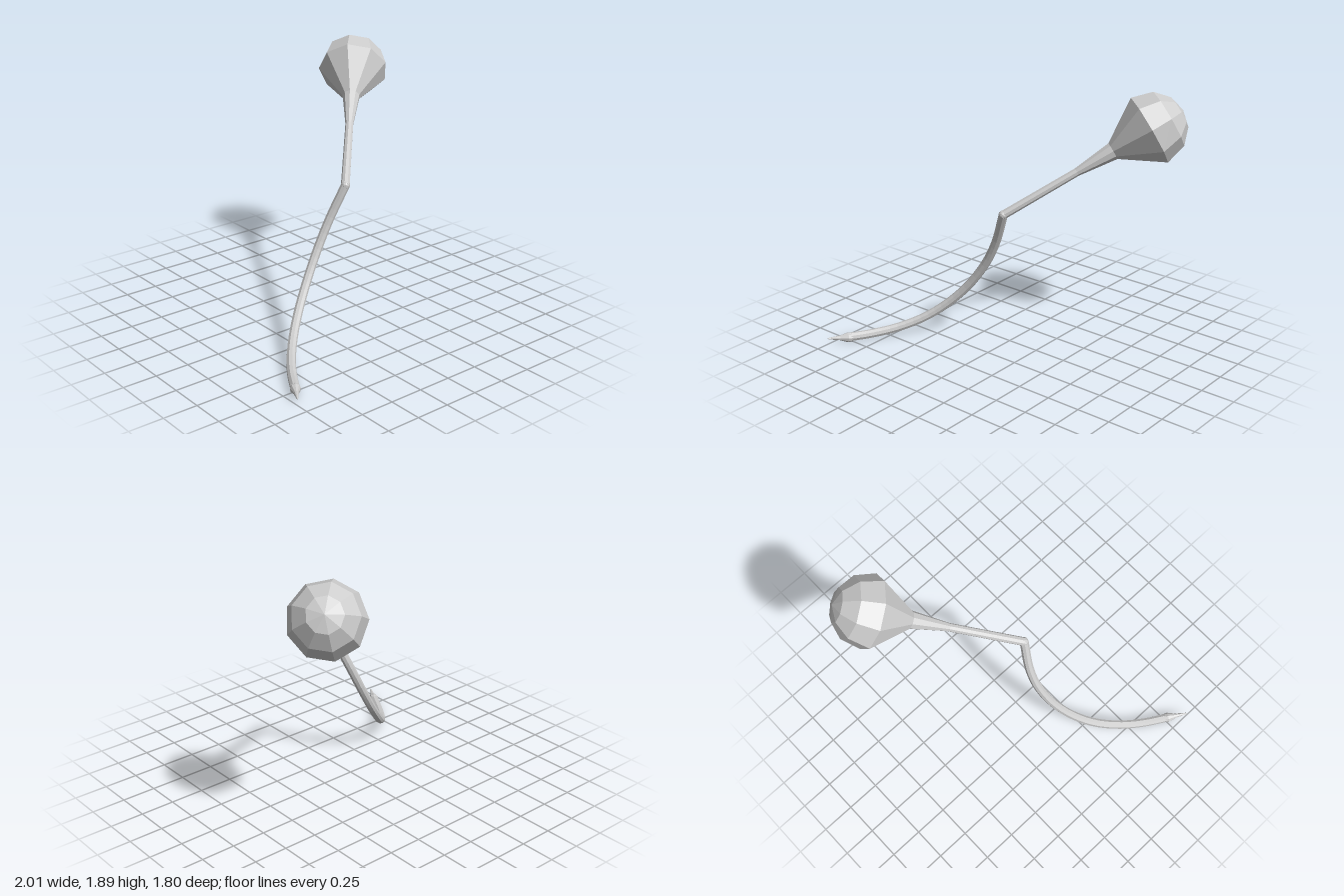
import * as THREE from 'three';

const SIDES = 9;
const v = (x, y, z) => new THREE.Vector3(x, y, z);

export function createModel() {
  const group = new THREE.Group();
  const material = new THREE.MeshStandardMaterial({ color: 0xcccccc, flatShading: true, side: THREE.DoubleSide });

  const add = (name, geometry) => {
    const mesh = new THREE.Mesh(geometry, material);
    mesh.name = name;
    group.add(mesh);
    return mesh;
  };

  // Faceted solid of [radius, distance] rings along an axis, one corner line facing "corner"
  const turned = (name, rings, origin, axis, corner) => {
    const points = rings.map(([r, d]) => new THREE.Vector2(r, d));
    const mesh = add(name, new THREE.LatheGeometry(points, SIDES));
    const y = axis.clone().normalize();
    const x = y.clone().cross(corner).normalize();
    const z = x.clone().cross(y);
    mesh.quaternion.setFromRotationMatrix(new THREE.Matrix4().makeBasis(x, y, z));
    mesh.position.copy(origin);
  };

  const elbow = v(0.04, 1.05, 0.12);
  const stemEnd = v(-0.915, 0.04, 0.77);

  // Straight shaft flaring into the domed bulb
  turned('shaftAndBulb', [
    [0, -0.01], [0.032, -0.01], [0.03, 0.6], [0.065, 0.89], [0.264, 1.18],
    [0.22, 1.335], [0.122, 1.425], [0, 1.455],
  ], elbow, v(0.36, 0.3, -0.39), v(0.64, -0.77, 0));

  // Elbow between shaft and stem
  add('elbow', new THREE.IcosahedronGeometry(0.034, 1)).position.copy(elbow);

  // Curved stem
  const curve = new THREE.CatmullRomCurve3([
    elbow, v(-0.07, 0.8, 0.072), v(-0.175, 0.6, 0.07), v(-0.31, 0.4, 0.115),
    v(-0.45, 0.243, 0.2), v(-0.58, 0.135, 0.31), v(-0.71, 0.068, 0.455),
    v(-0.82, 0.042, 0.61), stemEnd,
  ]);
  add('stem', new THREE.TubeGeometry(curve, 28, 0.033, SIDES));

  // Pointed tip
  turned('tip', [
    [0, -0.03], [0.032, -0.03], [0.037, 0.005], [0.018, 0.065], [0.006, 0.15], [0, 0.157],
  ], stemEnd, v(-1, 0.053, 0.905).sub(stemEnd), v(0, 1, 0));

  return group;
}
